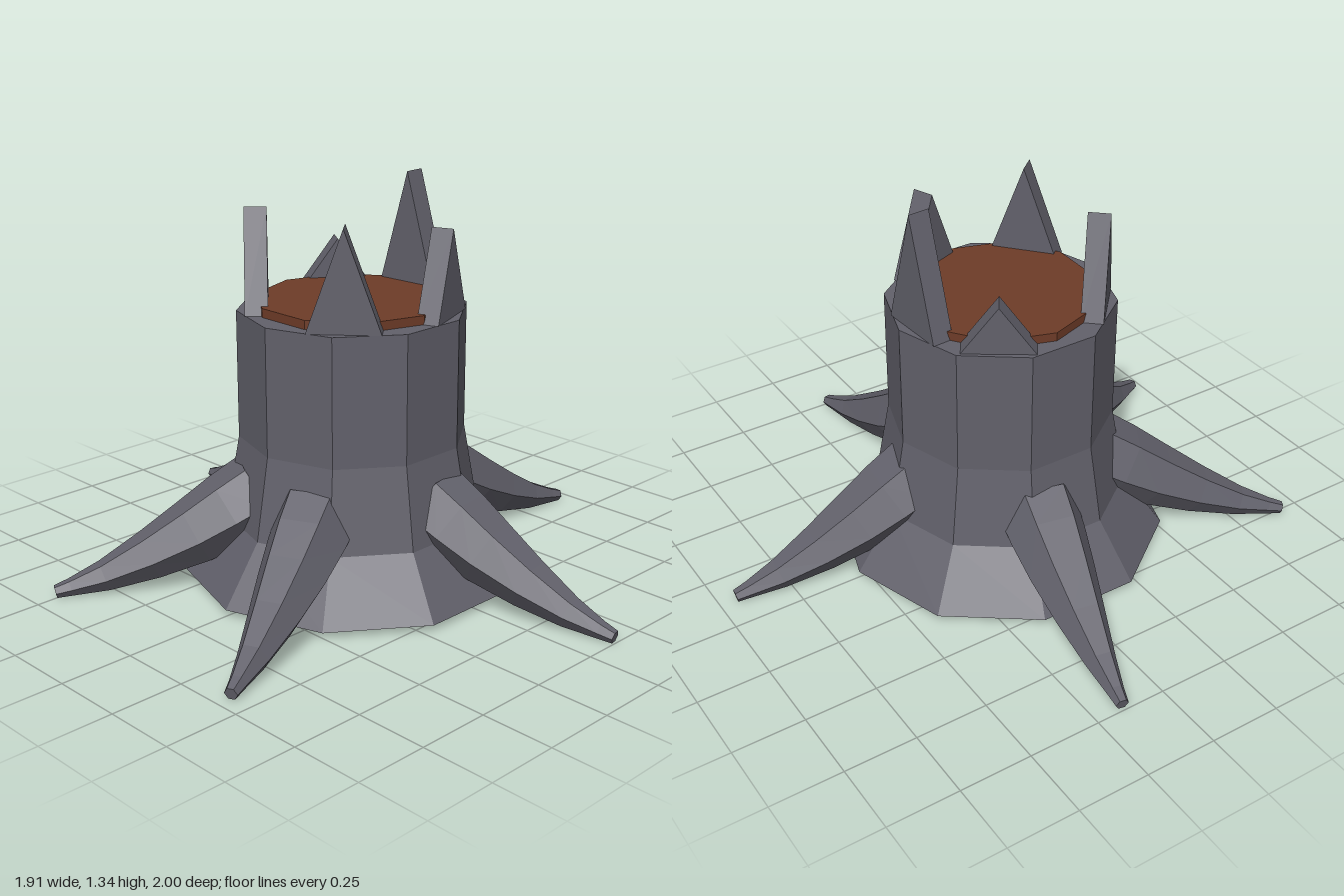
import * as THREE from 'three';

const bark = new THREE.MeshStandardMaterial({ color: 0x62616b, flatShading: true });
const heartwood = new THREE.MeshStandardMaterial({ color: 0x6e3c28, flatShading: true });

// Turn a part whose outward direction is +z towards an angle measured from +x to +z
const face = (object, degrees) => {
  object.rotation.y = Math.PI / 2 - THREE.MathUtils.degToRad(degrees);
  return object;
};

// Hexagonal tapering root: [distance from axis, height, radius] per section
const rootSections = [
  [0.32, 0.31, 0.14], [0.42, 0.255, 0.132], [0.54, 0.19, 0.114], [0.69, 0.12, 0.085],
  [0.84, 0.062, 0.053], [0.95, 0.033, 0.03], [1.0, 0.022, 0.022],
];

function rootGeometry(reach) {
  const sides = 6, positions = [], index = [];
  const last = rootSections.length - 1;
  rootSections.forEach(([d, y, r], i) => {
    const p = rootSections[Math.max(i - 1, 0)], q = rootSections[Math.min(i + 1, last)];
    const t = new THREE.Vector2(q[0] - p[0], q[1] - p[1]).normalize();
    for (let j = 0; j < sides; j++) {
      const a = (j / sides) * Math.PI * 2, up = r * Math.sin(a);
      positions.push(r * Math.cos(a), y + t.x * up, d * reach - t.y * up);
      const k = (j + 1) % sides;
      if (i < last) {
        const A = i * sides + j, B = i * sides + k;
        index.push(A, B, B + sides, A, B + sides, A + sides);
      }
    }
  });
  // Blunt tip
  for (let j = 1; j < sides - 1; j++) index.push(last * sides, last * sides + j, last * sides + j + 1);
  const geometry = new THREE.BufferGeometry();
  geometry.setAttribute('position', new THREE.Float32BufferAttribute(positions, 3));
  geometry.setIndex(index);
  geometry.computeVertexNormals();
  return geometry;
}

// Upright splinter: a triangle with a little thickness
function splinterGeometry(height, halfWidth) {
  const shape = new THREE.Shape();
  shape.moveTo(-halfWidth, 0);
  shape.lineTo(halfWidth, 0);
  shape.lineTo(0, height);
  const depth = 0.075;
  return new THREE.ExtrudeGeometry(shape, { depth, bevelEnabled: false }).translate(0, 0, -depth / 2);
}

export function createModel() {
  const stump = new THREE.Group();
  stump.name = 'treeStump';
  const add = (geometry, material, name) => {
    const mesh = new THREE.Mesh(geometry, material);
    mesh.name = name;
    stump.add(mesh);
    return mesh;
  };

  // Ten-sided trunk with a flared foot
  const profile = [[0, 0.025], [0.575, 0.025], [0.435, 0.22], [0.385, 0.5], [0.385, 0.935], [0, 0.935]]
    .map(([r, y]) => new THREE.Vector2(r, y));
  add(new THREE.LatheGeometry(profile, 10, Math.PI / 2), bark, 'trunk');

  // Exposed wood inside the broken rim
  add(new THREE.CylinderGeometry(0.325, 0.325, 0.06, 10).translate(0, 0.935, 0), heartwood, 'cutWood');

  // Roots: [angle, reach]
  [[7, 0.99], [80.3, 1.01], [155, 1.01], [210, 1.02], [281, 1.01]].forEach(([angle, reach], i) => {
    face(add(rootGeometry(reach), bark, `root${i + 1}`), angle);
  });

  // Splinters on the rim: [angle, height]
  [[-4, 0.41], [69, 0.29], [139, 0.335], [222, 0.335], [304, 0.165]].forEach(([angle, height], i) => {
    const geometry = splinterGeometry(height, 0.12).translate(0, 0.935, 0.315);
    face(add(geometry, bark, `splinter${i + 1}`), angle);
  });

  stump.children.forEach((part) => { part.position.x = -0.04; });
  return stump;
}
